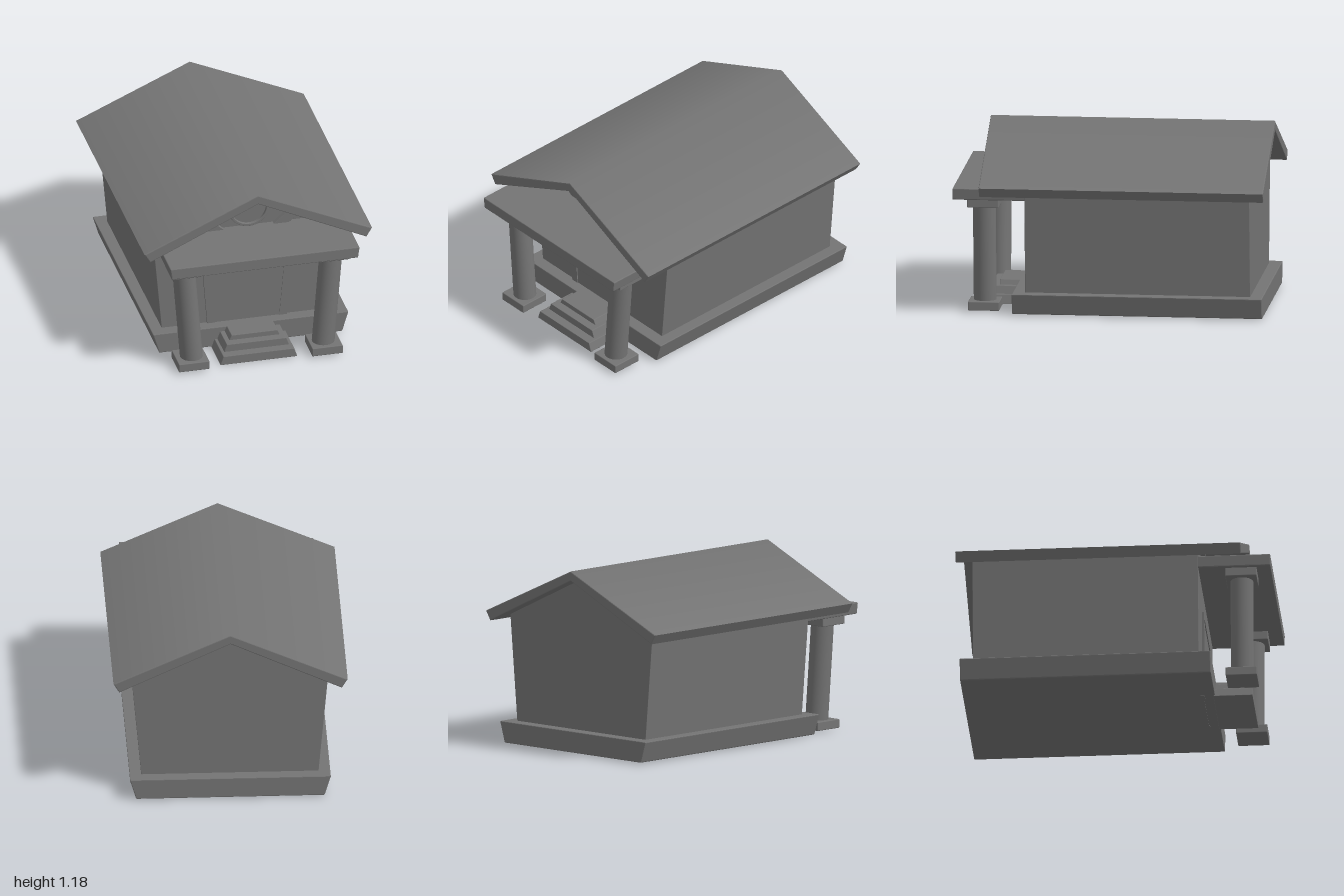
import * as THREE from 'three';
import { RoundedBoxGeometry } from 'three/addons/geometries/RoundedBoxGeometry.js';

const material = new THREE.MeshStandardMaterial({ color: 0x747474 });

// Outline whose corners are rounded off by a small distance r
function outline(points, r) {
  const shape = new THREE.Shape();
  const pts = points.map(([x, y]) => new THREE.Vector2(x, y));
  pts.forEach((p, i) => {
    const toward = (q) => p.clone().add(q.clone().sub(p).setLength(r));
    const a = toward(pts.at(i - 1)), b = toward(pts[(i + 1) % pts.length]);
    if (i === 0) shape.moveTo(a.x, a.y);
    else shape.lineTo(a.x, a.y);
    shape.quadraticCurveTo(p.x, p.y, b.x, b.y);
  });
  shape.closePath();
  return shape;
}

// Solid with a constant front outline, running from z0 (back) to z1 (front), with softened edges
function prism(name, shape, z0, z1, bevel = 0.005, curveSegments = 3) {
  const geo = new THREE.ExtrudeGeometry(shape, {
    depth: z1 - z0 - 2 * bevel,
    bevelEnabled: bevel > 0,
    bevelThickness: bevel,
    bevelSize: bevel,
    bevelOffset: -bevel,
    bevelSegments: 2,
    curveSegments,
  });
  geo.translate(0, 0, z0 + bevel);
  const mesh = new THREE.Mesh(geo, material);
  mesh.name = name;
  return mesh;
}

const polygon = (points) => new THREE.Shape(points.map(([x, y]) => new THREE.Vector2(x, y)));

// Symmetric trapezoid about x = cx
const trapezoid = (bottom, top, y0, y1, cx = 0) =>
  [[cx - bottom, y0], [cx + bottom, y0], [cx + top, y1], [cx - top, y1]];

function roundedBlock(name, w, h, d, x, y, z) {
  const mesh = new THREE.Mesh(new RoundedBoxGeometry(w, h, d, 2, 0.005), material);
  mesh.position.set(x, y, z);
  mesh.name = name;
  return mesh;
}

// Column leaning outwards, with square base and capital
function column(side) {
  const group = new THREE.Group();
  group.name = side > 0 ? 'leftColumn' : 'rightColumn';
  const lean = 0.08, z = 0.81, shift = -0.005;
  const shaftGeo = new THREE.CylinderGeometry(0.073, 0.073, 0.64, 32);
  shaftGeo.applyMatrix4(new THREE.Matrix4().set(
    1, side * lean, 0, 0,
    0, 1, 0, 0,
    0, 0, 1, 0,
    0, 0, 0, 1));
  const shaft = new THREE.Mesh(shaftGeo, material);
  shaft.name = 'columnShaft';
  shaft.position.set(side * 0.457 + shift, 0.38, z);
  group.add(shaft,
    roundedBlock('columnBase', 0.2, 0.057, 0.2, side * 0.437 + shift, 0.04, z),
    roundedBlock('columnCapital', 0.197, 0.06, 0.2, side * 0.484 + shift, 0.717, z));
  return group;
}

// Chevron roof slab, shaded smoothly over the ridge
function roof() {
  const half = [[0.709, 0.784], [0.746, 0.845]];
  const shape = polygon([[0, 1.177]]);
  const mirrored = half.map(([x, y]) => [-x, y]).reverse();
  shape.setFromPoints([[0, 1.177], ...mirrored, [0, 1.115], ...half].map(([x, y]) => new THREE.Vector2(x, y)));
  const mesh = prism('roof', shape, -1, 0.82, 0.006);
  const { position, normal } = mesh.geometry.attributes;
  for (let i = 0; i < position.count; i++) {
    const onRidge = Math.abs(position.getX(i)) < 0.001 && normal.getY(i) > 0.8;
    if (onRidge) normal.setXYZ(i, 0, 1, 0);
  }
  return mesh;
}

export function createModel() {
  const model = new THREE.Group();
  model.name = 'temple';

  // Plinth and gabled hall, both flaring upwards, under the roof
  model.add(
    prism('plinth', outline(trapezoid(0.6, 0.641, 0.007, 0.143), 0.007), -0.98, 0.62),
    prism('hall', polygon([[-0.563, 0.12], [0.563, 0.12], [0.627, 0.838], [0, 1.135], [-0.627, 0.838]]), -0.9, 0.54, 0.002),
    roof());

  // Porch beam and columns
  model.add(prism('porchBeam', outline(trapezoid(0.61, 0.62, 0.743, 0.818), 0.007), 0.52, 1));
  model.add(column(-1), column(1));

  // Pediment ornaments: ring with a disc, and slanted struts
  const ringY = 0.958;
  const ring = new THREE.Shape().absarc(0, ringY, 0.133, 0, Math.PI * 2);
  ring.holes.push(new THREE.Path().absarc(0, ringY, 0.115, 0, Math.PI * 2, true));
  model.add(prism('pedimentRing', ring, 0.53, 0.575, 0.003, 32));
  const disc = new THREE.Mesh(new THREE.CylinderGeometry(0.118, 0.118, 0.03, 48), material);
  disc.name = 'pedimentDisc';
  disc.rotation.x = Math.PI / 2;
  disc.position.set(0, ringY, 0.54);
  model.add(disc);
  for (const s of [-1, 1]) {
    const pts = [[0.155, 0.81], [0.253, 0.81], [0.41, 0.935], [0.33, 0.965]].map(([x, y]) => [s * x, y]);
    model.add(prism(s > 0 ? 'leftStrut' : 'rightStrut', polygon(pts), 0.53, 0.57, 0.002));
  }

  // Door frame and the slightly recessed door leaf
  const cx = -0.008;
  model.add(prism('doorFrame', polygon([
    [cx - 0.25, 0.003], [cx - 0.2, 0.003], [cx - 0.245, 0.54], [cx + 0.245, 0.54],
    [cx + 0.2, 0.003], [cx + 0.25, 0.003], [cx + 0.294, 0.572], [cx - 0.294, 0.572],
  ]), 0.53, 0.555, 0));
  model.add(prism('door', polygon(trapezoid(0.205, 0.25, 0.003, 0.545, cx)), 0.53, 0.549, 0));

  // Three tapered steps, from the ground up: [bottom, top, y0, y1, front]
  [
    [0.252, 0.232, 0, 0.06, 0.86],
    [0.215, 0.195, 0.055, 0.11, 0.8],
    [0.168, 0.15, 0.105, 0.143, 0.745],
  ].forEach(([bottom, top, y0, y1, front], i) =>
    model.add(prism('step' + (i + 1), outline(trapezoid(bottom, top, y0, y1, -0.006), 0.004), 0.61, front, 0.003)));

  return model;
}
